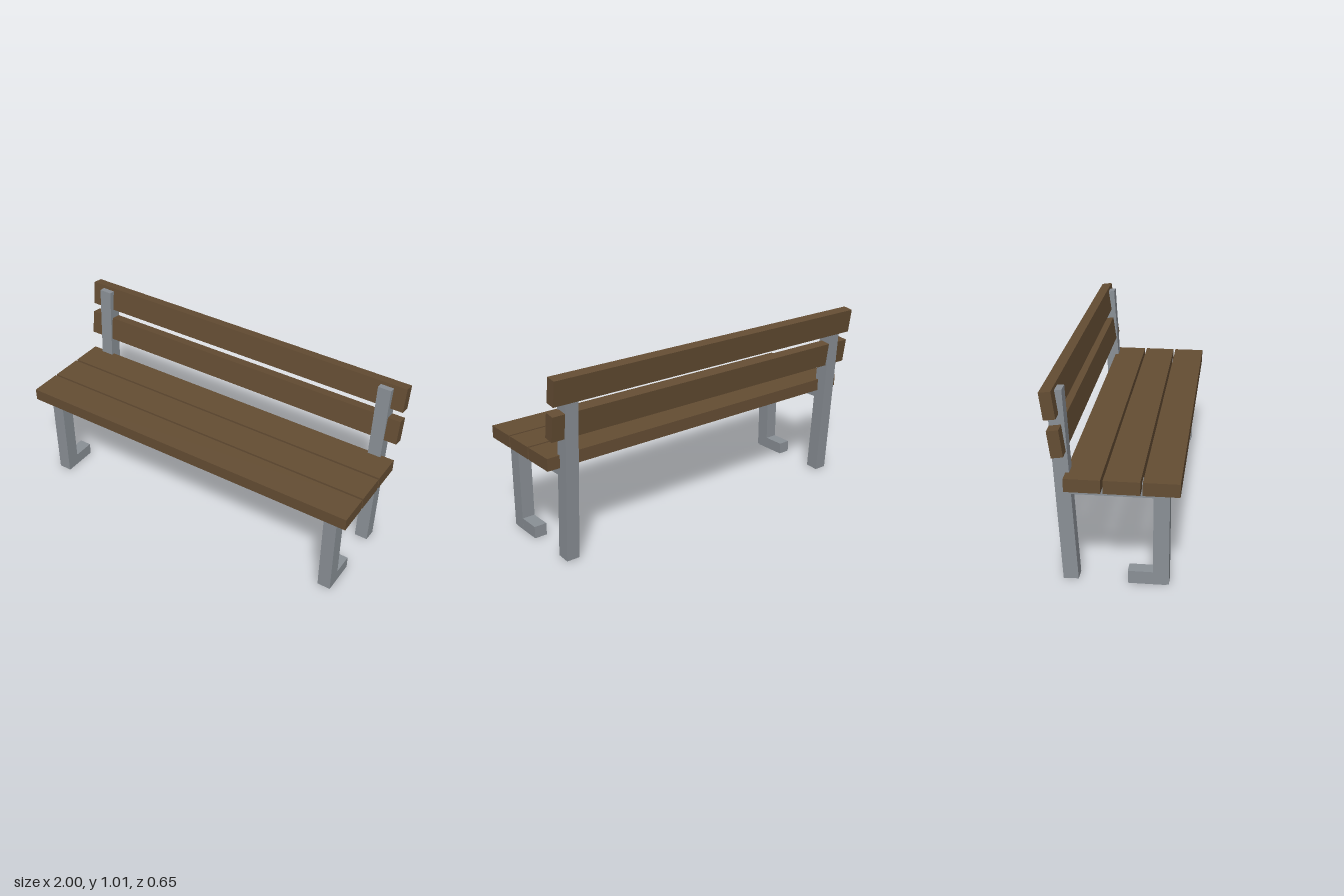
import * as THREE from 'three';

export function createModel() {
  const bench = new THREE.Group();
  bench.name = 'parkBench';
  const wood = new THREE.MeshStandardMaterial({ color: 0x644d33 });
  const metal = new THREE.MeshStandardMaterial({ color: 0x8a9096 });

  // Box given by its size, centre and backward lean
  function addBox(parent, name, material, size, centre, lean = 0) {
    const mesh = new THREE.Mesh(new THREE.BoxGeometry(...size), material);
    mesh.name = name;
    mesh.position.set(...centre);
    mesh.rotation.x = -lean;
    parent.add(mesh);
  }

  // Three flat seat planks
  [0.239, 0.0525, -0.1345].forEach((z, i) =>
    addBox(bench, `seatSlat${i + 1}`, wood, [2, 0.067, 0.175], [0, 0.5465, z]));

  // Two leaning backrest planks
  [[0.752, -0.2547], [0.938, -0.2845]].forEach(([y, z], i) =>
    addBox(bench, `backSlat${i + 1}`, wood, [2, 0.135, 0.058], [0, y, z], 0.14));

  // Matching metal side frames
  const width = 0.073;
  for (const side of [-1, 1]) {
    const frame = new THREE.Group();
    frame.name = side > 0 ? 'leftFrame' : 'rightFrame';
    frame.position.x = side * 0.893;
    addBox(frame, 'frontLeg', metal, [width, 0.536, 0.078], [0, 0.272, 0.234]);
    addBox(frame, 'foot', metal, [width - 0.002, 0.067, 0.19], [0, 0.0335, 0.167]);
    addBox(frame, 'seatRail', metal, [width - 0.002, 0.073, 0.435], [0, 0.5045, -0.0225]);
    addBox(frame, 'backPost', metal, [width, 0.986, 0.075], [0, 0.4985, -0.237], 0.0595);
    bench.add(frame);
  }
  return bench;
}
